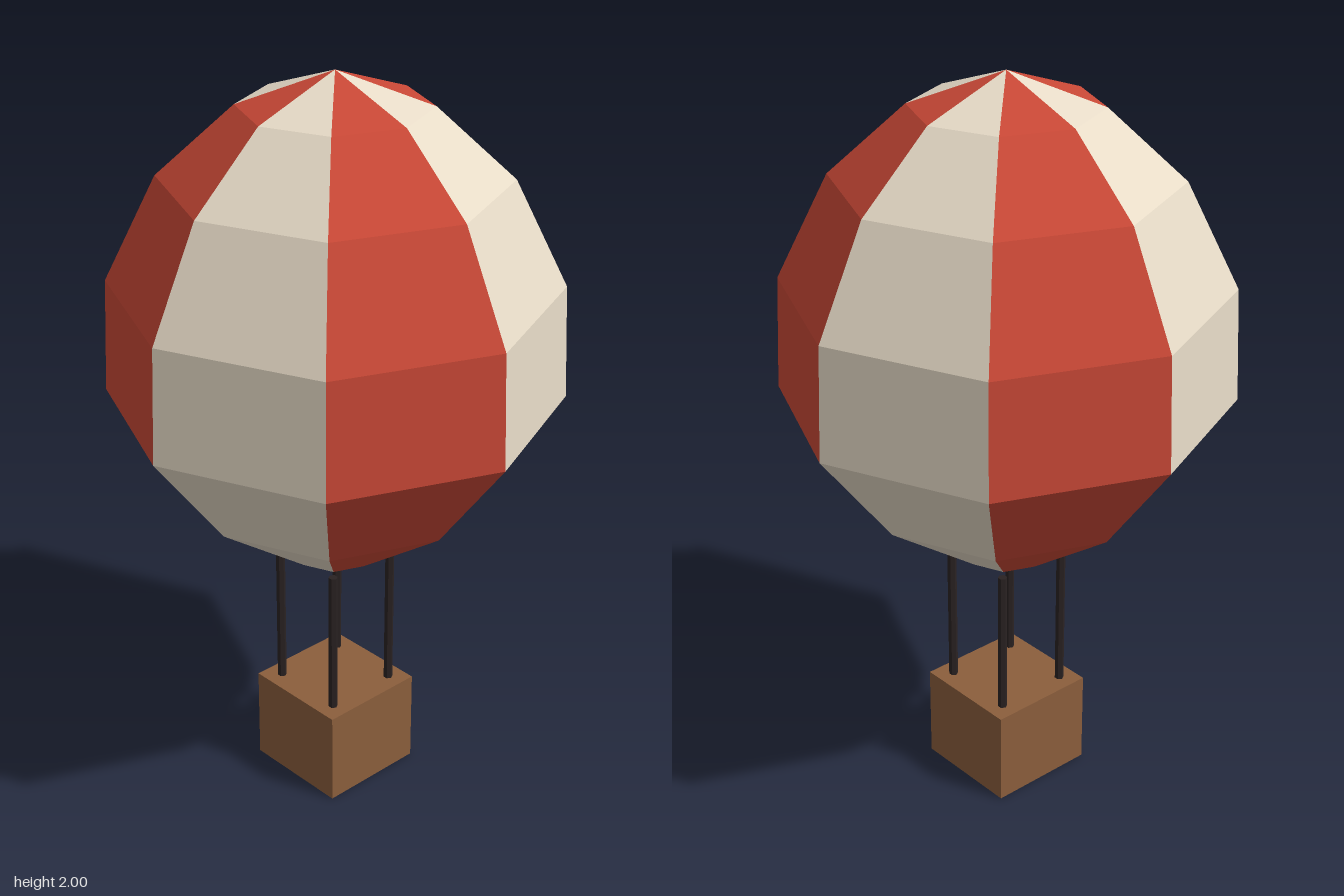
import * as THREE from 'three';

const material = (name, color, flatShading = true) => {
  const m = new THREE.MeshStandardMaterial({ color, flatShading });
  m.name = name;
  return m;
};

export function createModel() {
  const cream = material('cream cloth', 0xe8dcc8);
  const red = material('red cloth', 0xc94836);
  const brown = material('basket brown', 0x8b5e3c);
  const dark = material('dark rope', 0x2a2222);

  const model = new THREE.Group();
  model.name = 'hotAirBalloon';
  const add = (parent, name, geometry, mat, x = 0, y = 0, z = 0) => {
    const mesh = new THREE.Mesh(geometry, mat);
    mesh.name = name;
    mesh.position.set(x, y, z);
    parent.add(mesh);
  };

  // Envelope: eight gores in alternating colours, profile from mouth to crown
  const envelope = new THREE.Group();
  envelope.name = 'envelope';
  model.add(envelope);
  const profile = [
    [0.113, 0.67], [0.385, 0.865], [0.597, 1.145], [0.583, 1.45],
    [0.445, 1.73], [0.245, 1.912], [0, 2],
  ].map(([r, y]) => new THREE.Vector2(r, y));
  const gores = 8;
  const step = (Math.PI * 2) / gores;
  for (let i = 0; i < gores; i++) {
    add(envelope, 'gore', new THREE.LatheGeometry(profile, 1, i * step, step), i % 2 ? red : cream);
  }

  // Dark mouth closing the envelope underneath
  add(envelope, 'mouth', new THREE.CircleGeometry(0.113, gores).rotateX(Math.PI / 2), dark, 0, 0.67, 0);

  // Ropes at the four corners
  const rope = new THREE.CylinderGeometry(0.0125, 0.0125, 0.42, 6);
  for (const x of [-0.105, 0.105]) {
    for (const z of [-0.105, 0.105]) add(model, 'rope', rope, dark, x, 0.465, z);
  }

  // Basket
  add(model, 'basket', new THREE.BoxGeometry(0.305, 0.265, 0.305), brown, 0, 0.1325, 0);

  return model;
}
